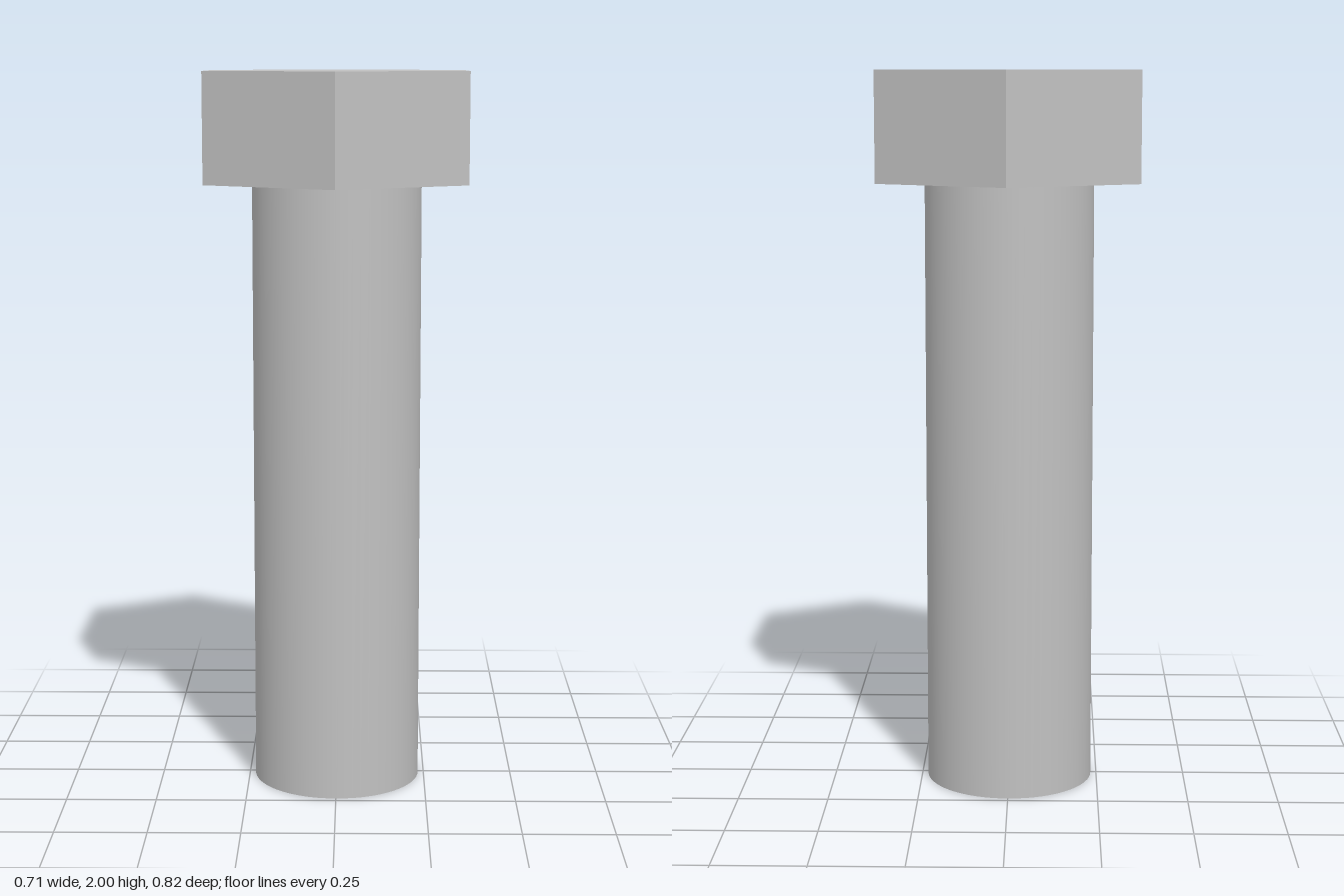
import * as THREE from 'three';

export function createModel() {
  const model = new THREE.Group();
  model.name = 'hexBolt';

  const steel = new THREE.MeshStandardMaterial({ color: 0xc0c0c0 });
  steel.name = 'steel grey';

  const headHeight = 0.3;
  const shankLength = 1.7;

  // Smooth round shank
  const shank = new THREE.Mesh(new THREE.CylinderGeometry(0.234, 0.234, shankLength, 64), steel);
  shank.name = 'shank';
  shank.position.y = shankLength / 2;

  // Six-sided head, corners pointing to front and back, with crisp facets
  const headGeometry = new THREE.CylinderGeometry(0.41, 0.41, headHeight, 6).toNonIndexed();
  headGeometry.computeVertexNormals();
  const head = new THREE.Mesh(headGeometry, steel);
  head.name = 'hexHead';
  head.position.y = shankLength + headHeight / 2;

  model.add(shank, head);
  return model;
}
